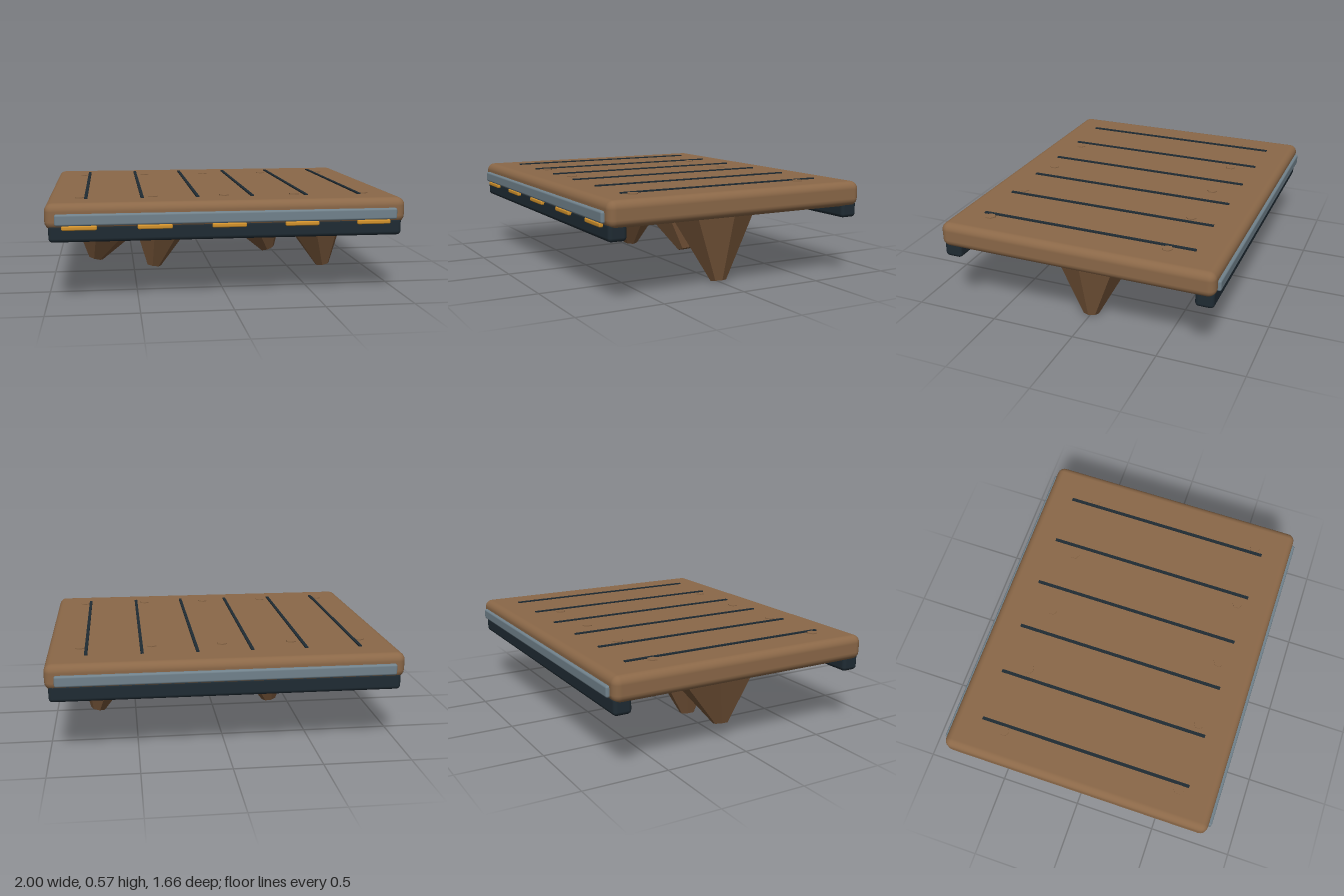
import * as THREE from 'three';
import { RoundedBoxGeometry } from 'three/addons/geometries/RoundedBoxGeometry.js';

const mat = (name, color, flatShading = false) => {
  const m = new THREE.MeshStandardMaterial({ color, flatShading });
  m.name = name;
  return m;
};

const SIDES = 7;

// Faceted hanging rock: a tilted blunt tip, a tilted rim, and a level top hidden in the slab
function rockGeometry(tipX, tipY, slope, rimDist) {
  const geo = new THREE.CylinderGeometry(1, 1, 2, SIDES, 2);
  geo.rotateY(Math.PI / 2); // put a corner on +x
  const len = Math.hypot(1, slope);
  const ax = -slope / len, ay = 1 / len; // axis pointing up from the tip
  const topY = 0.46;
  const topX = tipX + (ax / ay) * (topY - tipY);
  const p = geo.attributes.position;
  for (let i = 0; i < p.count; i++) {
    const x = p.getX(i), y = p.getY(i), z = p.getZ(i);
    if (y > 0.5) {
      p.setXYZ(i, topX + x * 0.228, topY, z * 0.228);
    } else {
      const r = y < -0.5 ? 0.046 : 0.23;
      const d = y < -0.5 ? 0 : rimDist;
      p.setXYZ(i, tipX + ax * d + ay * x * r, tipY + ay * d - ax * x * r, z * r);
    }
  }
  geo.computeVertexNormals();
  return geo;
}

export function createModel() {
  const model = new THREE.Group();
  model.name = 'floatingPlatform';

  const earth = mat('earth brown', 0x8b6848);
  const rock = mat('rock brown', 0x765539, true);
  const dark = mat('dark metal', 0x1f2b33);
  const steel = mat('grey steel', 0x71828c);
  const amber = mat('amber', 0xd2922c);

  const add = (name, geo, material, x, y, z) => {
    const m = new THREE.Mesh(geo, material);
    m.name = name;
    m.position.set(x, y, z);
    model.add(m);
    return m;
  };

  // Main slab
  add('slab', new RoundedBoxGeometry(2, 0.145, 1.62, 3, 0.045), earth, 0, 0.4885, 0);

  // Under-beams and edge trims, front and back
  for (const s of [1, -1]) {
    const end = s > 0 ? 'front' : 'back';
    add(end + 'Beam', new RoundedBoxGeometry(1.96, 0.1, 0.105, 2, 0.022), dark, 0, 0.398, s * 0.75);
    add(end + 'Trim', new RoundedBoxGeometry(1.89, 0.064, 0.05, 2, 0.012), steel, 0, 0.474, s * 0.803);
  }

  // Raised seams along the top
  const seamGeo = new THREE.BoxGeometry(0.018, 0.014, 1.28);
  for (let i = 0; i < 6; i++) {
    add('seam', seamGeo, dark, -0.78 + i * 0.3115, 0.561, 0);
  }

  // Hexagonal bolts in two rows, with a marker light below the front trim for each column
  const boltGeo = new THREE.CylinderGeometry(0.031, 0.031, 0.02, 6).toNonIndexed();
  boltGeo.computeVertexNormals();
  const lightGeo = new RoundedBoxGeometry(0.19, 0.025, 0.04, 2, 0.008);
  for (let i = -2; i <= 2; i++) {
    const x = i * 0.407;
    for (const z of [-0.49, 0.585]) add('bolt', boltGeo, earth, x, 0.557, z);
    add('markerLight', lightGeo, amber, x, 0.429, 0.802);
  }

  // Hanging rocks: tip x, tip y, tilt slope, distance from tip to rim
  const rocks = [
    [-0.745, 0.088, -0.27, 0.25],
    [-0.375, 0.032, -0.16, 0.35],
    [-0.005, 0.232, 0.27, 0.14],
    [0.37, 0.125, 0.36, 0.28],
    [0.74, 0.01, 0.19, 0.36],
  ];
  for (const r of rocks) add('hangingRock', rockGeometry(...r), rock, 0, 0, 0);

  return model;
}
